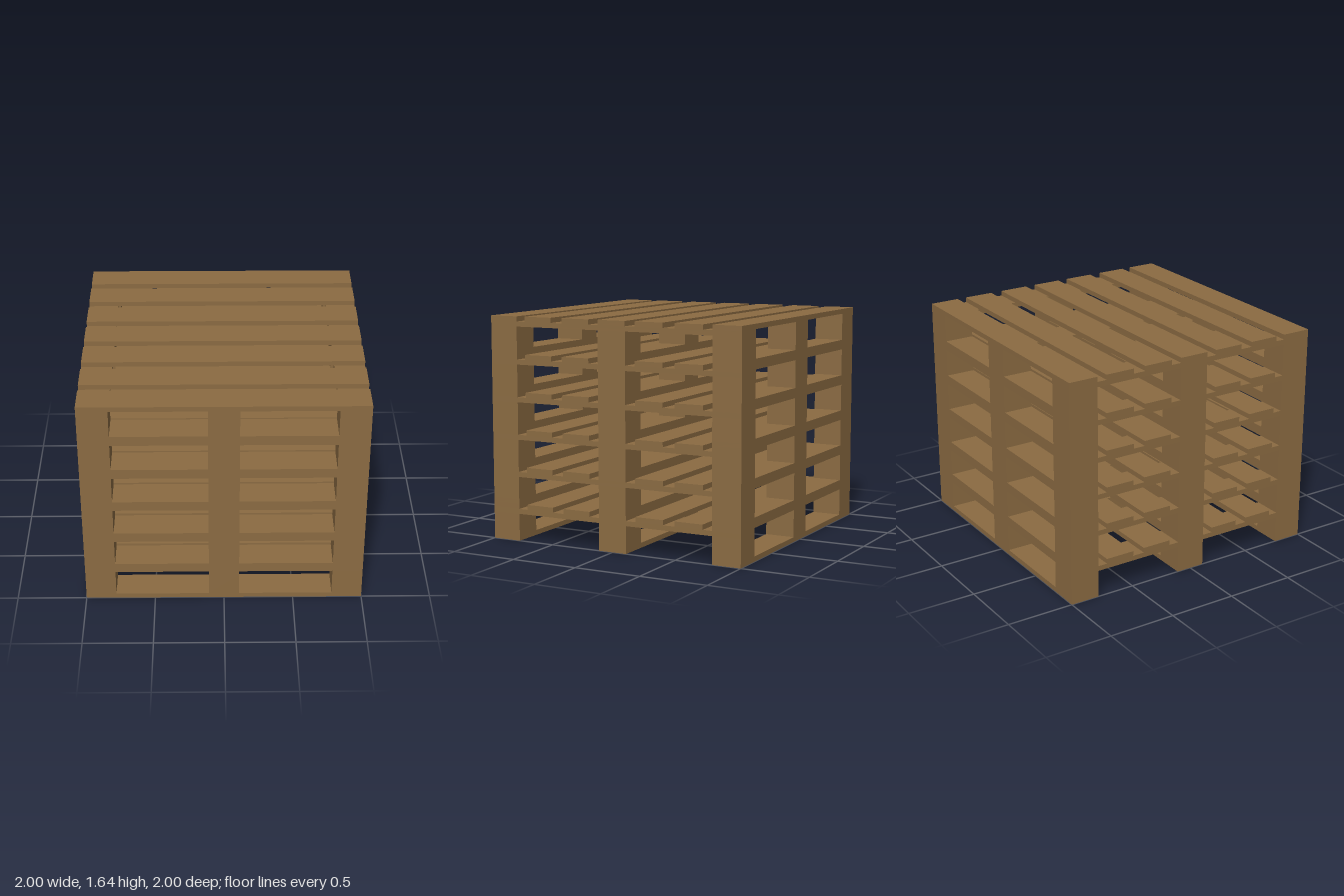
import * as THREE from 'three';

// A stack of six identical block pallets.
export function createModel() {
  const wood = new THREE.MeshStandardMaterial({ color: 0x8b6b42 });
  wood.name = 'wood';

  const LEVELS = 6;
  const W = 0.218; // board width
  const T = 0.0364; // board thickness
  const BLOCK = 0.1636; // block height
  const HEIGHT = BLOCK + 3 * T;
  const ROWS = [-0.891, 0, 0.891];
  const SLATS = [-0.891, -0.603, -0.295, 0, 0.295, 0.603, 0.891];

  const longBoard = new THREE.BoxGeometry(2, T, W);
  const crossBoard = new THREE.BoxGeometry(W, T, 2);
  const block = new THREE.BoxGeometry(W, BLOCK, W);

  function add(parent, name, geometry, x, y, z) {
    const mesh = new THREE.Mesh(geometry, wood);
    mesh.name = name;
    mesh.position.set(x, y, z);
    parent.add(mesh);
  }

  function createPallet() {
    const pallet = new THREE.Group();
    pallet.name = 'pallet';
    // Bottom runners with three blocks on each
    for (const z of ROWS) {
      add(pallet, 'bottomRunner', longBoard, 0, T / 2, z);
      for (const x of ROWS) add(pallet, 'spacerBlock', block, x, T + BLOCK / 2, z);
    }
    // Cross boards joining the rows of blocks
    for (const x of ROWS) add(pallet, 'crossBoard', crossBoard, x, BLOCK + 1.5 * T, 0);
    // Deck slats
    for (const z of SLATS) add(pallet, 'deckSlat', longBoard, 0, BLOCK + 2.5 * T, z);
    return pallet;
  }

  const model = new THREE.Group();
  model.name = 'palletStack';
  for (let i = 0; i < LEVELS; i++) {
    const pallet = createPallet();
    pallet.position.y = i * HEIGHT;
    model.add(pallet);
  }
  return model;
}
